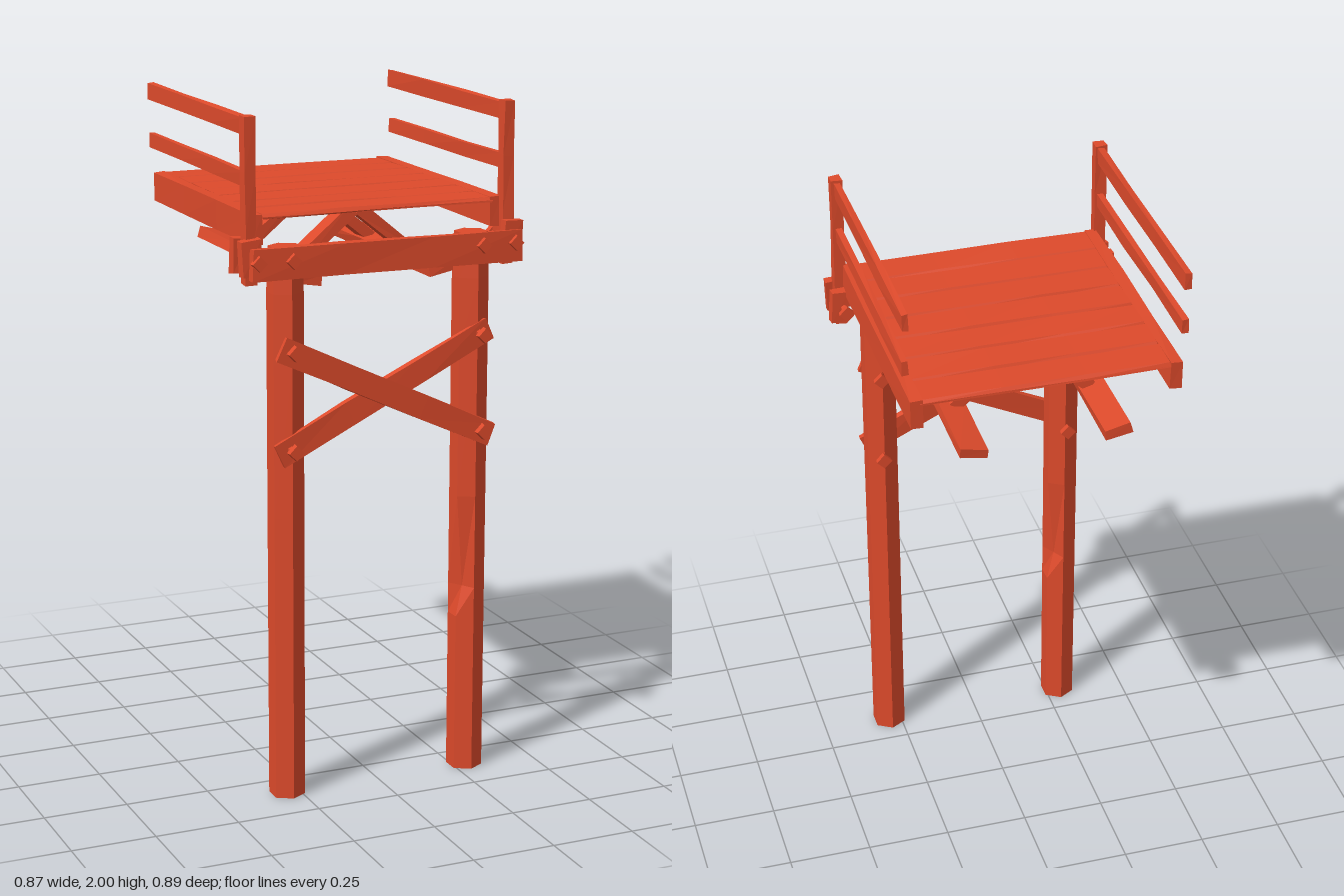
import * as THREE from 'three';

const wood = new THREE.MeshStandardMaterial({ color: 0xdd4a2b, flatShading: true, side: THREE.DoubleSide });

// Small repeatable wobble that depends only on position, so seams stay closed
function wobble(geo, amount, seed) {
  const p = geo.attributes.position;
  const n = (x, y, z, k) => {
    const s = Math.sin(x * 127.1 + y * 311.7 + z * 74.7 + k * 19.3 + seed * 53.9) * 4375.85;
    return (s - Math.floor(s) - 0.5) * 2 * amount;
  };
  for (let i = 0; i < p.count; i++) {
    const [x, y, z] = [p.getX(i), p.getY(i), p.getZ(i)].map(v => Math.round(v * 1e4) / 1e4 + 0);
    p.setXYZ(i, x + n(x, y, z, 1), y + n(x, y, z, 2), z + n(x, y, z, 3));
  }
  geo.computeVertexNormals();
  return geo;
}

export function createModel() {
  const group = new THREE.Group();
  let seed = 1;

  const add = (name, geo, x, y, z) => {
    const mesh = new THREE.Mesh(geo, wood);
    mesh.name = name;
    mesh.position.set(x, y, z);
    group.add(mesh);
    return mesh;
  };

  // Rough-sawn timber, split along its longest side
  const timber = (name, size, pos, rotZ = 0, rough = 0.003) => {
    const longest = Math.max(...size);
    const segs = size.map(s => (s === longest && s > 0.3 ? 3 : 1));
    const mesh = add(name, wobble(new THREE.BoxGeometry(...size, ...segs), rough, seed++), ...pos);
    mesh.rotation.z = rotZ;
    return mesh;
  };

  // Square-headed bolt running front to back
  const bolt = (name, x, y, z0, z1) => {
    const rod = new THREE.CylinderGeometry(0.012, 0.012, z1 - z0, 6).rotateX(Math.PI / 2);
    add(name + 'Rod', rod, x, y, (z0 + z1) / 2);
    for (const z of [z0 + 0.009, z1 - 0.009]) {
      const head = new THREE.CylinderGeometry(0.022, 0.024, 0.018, 4).rotateX(Math.PI / 2);
      add(name + 'Head', head, x, y, z);
    }
  };

  // Hexagonal legs with a worn notch on the inner side
  const rows = [0, 0.48, 0.57, 0.85, 1.3, 1.5, 1.63];
  for (const s of [-1, 1]) {
    const geo = new THREE.CylinderGeometry(0.053, 0.053, 6, 6, 6);
    const p = geo.attributes.position;
    for (let i = 0; i < p.count; i++) {
      const row = Math.round(p.getY(i) + 3);
      let x = p.getX(i), z = p.getZ(i);
      if (row === 2 && x * s < -0.03 && z * s > 0.01) { x += s * 0.025; z -= s * 0.012; }
      if (row === 6) { x *= 0.92; z *= 0.9; }
      p.setXYZ(i, x, rows[row], z);
    }
    geo.computeVertexNormals();
    add(s > 0 ? 'leftLeg' : 'rightLeg', geo, s * 0.288, 0, 0.35);
  }

  // Crossed braces and the bolts holding them
  timber('rearBrace', [0.725, 0.07, 0.018], [0, 1.195, 0.397], 0.446);
  timber('frontBrace', [0.725, 0.07, 0.018], [0, 1.195, 0.414], -0.446);
  for (const x of [-0.293, 0.293]) {
    for (const y of [1.055, 1.34]) bolt('braceBolt', x, y, 0.28, 0.447);
    bolt('beamBolt', x, 1.6, 0.28, 0.437);
  }

  // Front cross beam
  timber('frontBeam', [0.83, 0.088, 0.03], [0.003, 1.593, 0.41], -0.006);

  // Deck planks with bevelled upper edges
  const pitch = 0.79 / 7;
  for (let i = 0; i < 7; i++) {
    const w = pitch / 2, c = 0.007;
    const profile = new THREE.Shape([
      [-w, -0.007], [w, -0.007], [w, -0.002], [w - c, 0.008], [-w + c, 0.008], [-w, -0.002],
    ].map(a => new THREE.Vector2(...a)));
    const geo = new THREE.ExtrudeGeometry(profile, { depth: 0.71, steps: 3, bevelEnabled: false });
    geo.translate(0, 0, -0.355).rotateY(Math.PI / 2);
    add('deckPlank', wobble(geo, 0.0015, seed++), 0.003, 1.714, -0.445 + pitch * (i + 0.5));
  }

  for (const s of [-1, 1]) {
    // Side boards of the deck
    timber('sideBoard', [0.035, 0.085, 0.79], [s * 0.37, 1.68, -0.05], 0, 0.002);

    // Railing
    timber('railPost', [0.033, 0.47, 0.036], [s * 0.397, 1.765, 0.352], 0, 0.002);
    timber('topRail', [0.018, 0.05, 0.78], [s * 0.395, 1.968, -0.05], 0, 0.002);
    timber('middleRail', [0.018, 0.043, 0.77], [s * 0.395, 1.823, -0.045], 0, 0.002);

    // Clamp blocks and bolts at the foot of each rail post
    timber('clampBlock', [0.05, 0.1, 0.026], [s * 0.408, 1.605, 0.313], s * 0.05);
    timber('clampBlock', [0.06, 0.1, 0.026], [s * 0.403, 1.61, 0.378], -s * 0.06);
    bolt('clampBolt', s * 0.395, 1.6, 0.26, 0.435);

    // Lower bearers and slanted struts up to the deck
    timber('bearer', [0.08, 0.03, 0.77], [s * 0.208, 1.523, -0.055], s * 0.2);
    for (const z of [0.165, -0.18]) {
      timber('strut', [0.25, 0.034, 0.06], [s * 0.105, 1.61, z], -s * 0.68, 0.002);
    }
  }

  // Small blocks where each pair of struts meets
  for (const z of [0.165, -0.18]) timber('strutBlock', [0.07, 0.028, 0.064], [0, 1.693, z], 0, 0.002);

  return group;
}
